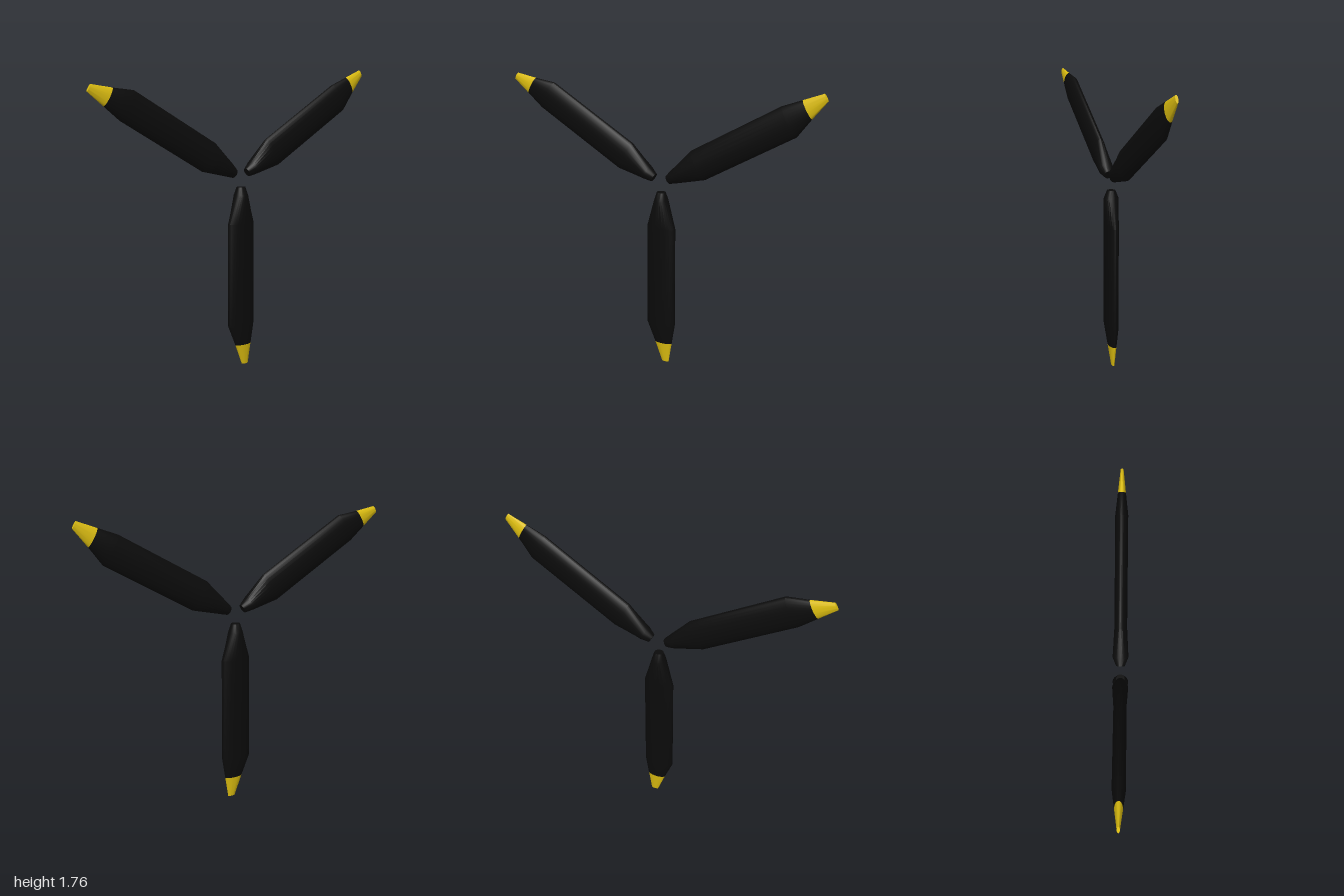
import * as THREE from 'three';
import { toCreasedNormals } from 'three/addons/utils/BufferGeometryUtils.js';

const HUB = { x: 0.012, y: 1.143 };

// Blade stations: [distance from hub, trailing edge x, leading edge x, half thickness]
const STATIONS = [
  [0.055, -0.027, 0.028, 0.025],
  [0.105, -0.042, 0.043, 0.045],
  [0.273, -0.092, 0.093, 0.036],
  [0.895, -0.092, 0.093, 0.036],
  [1.018, -0.040, 0.073, 0.022],
  [1.143, 0.008, 0.053, 0.008],
];

// Elliptical loft through the stations, pointing down from the hub
function loft(stations) {
  const rows = stations.length - 1;
  const geo = new THREE.CylinderGeometry(1, 1, 1, 24, rows);
  const pos = geo.attributes.position;
  for (let i = 0; i < pos.count; i++) {
    const [r, x0, x1, hz] = stations[Math.round((0.5 - pos.getY(i)) * rows)];
    pos.setXYZ(i, (x0 + x1) / 2 + pos.getX(i) * (x1 - x0) / 2, -r, pos.getZ(i) * hz);
  }
  return toCreasedNormals(geo, 0.5);
}

export function createModel() {
  const black = new THREE.MeshStandardMaterial({ color: 0x0b0b0b });
  black.name = 'black';
  const yellow = new THREE.MeshStandardMaterial({ color: 0xdcbd10 });
  yellow.name = 'yellow';

  const bladeGeo = loft(STATIONS.slice(0, 5));
  const tipGeo = loft(STATIONS.slice(4));

  const model = new THREE.Group();
  model.name = 'propeller';

  // Three equal blades around the open hub
  for (let i = 0; i < 3; i++) {
    const blade = new THREE.Group();
    blade.name = `blade${i + 1}`;
    const body = new THREE.Mesh(bladeGeo, black);
    body.name = 'bladeBody';
    const tip = new THREE.Mesh(tipGeo, yellow);
    tip.name = 'bladeTip';
    blade.add(body, tip);
    blade.position.set(HUB.x, HUB.y, 0);
    blade.rotation.z = i * Math.PI * 2 / 3;
    model.add(blade);
  }
  return model;
}
